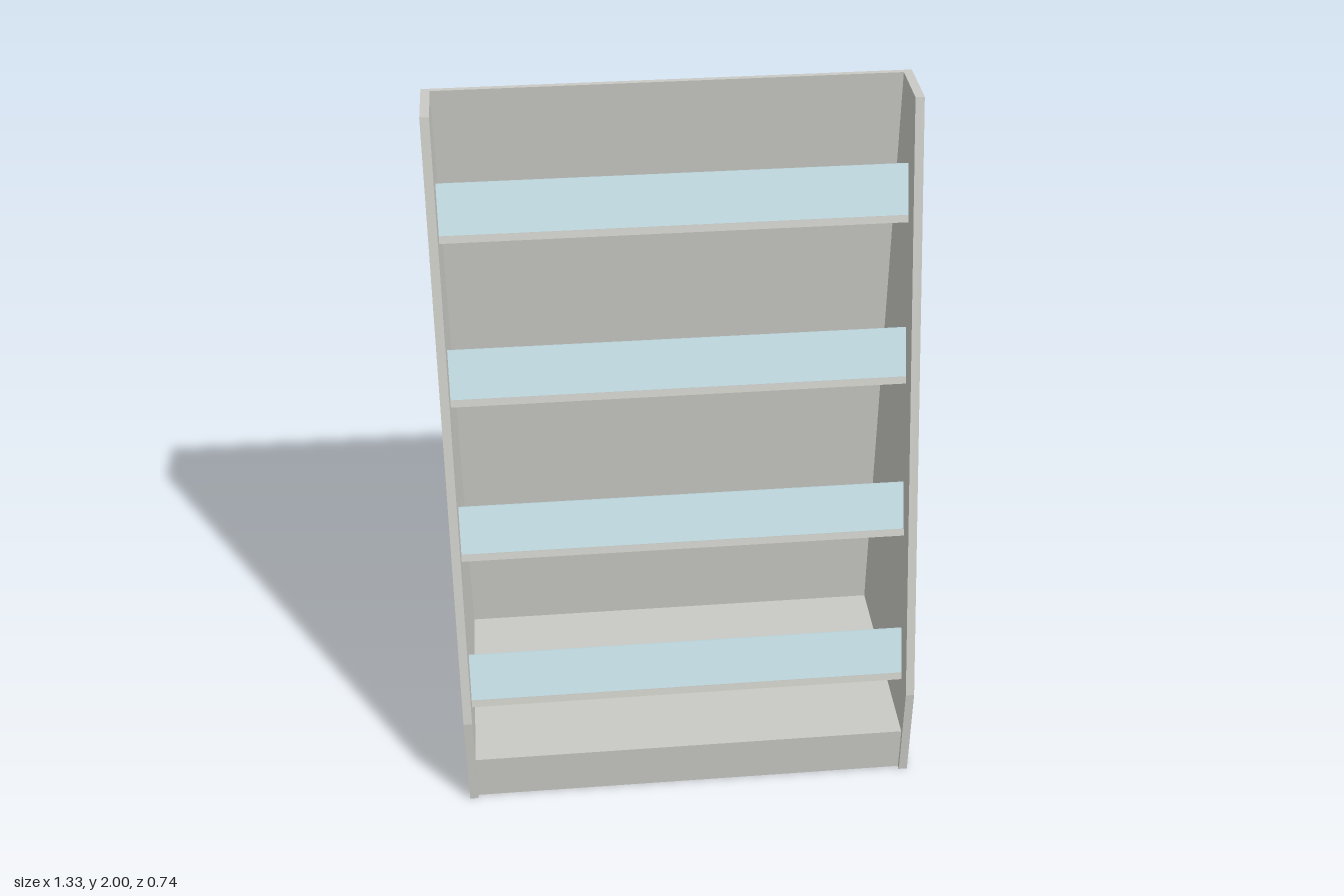
import * as THREE from 'three';

export function createModel() {
  const model = new THREE.Group();
  model.name = 'displayRack';

  const panelGrey = new THREE.MeshStandardMaterial({ color: 0xc9c9c4 });
  panelGrey.name = 'panelGrey';
  const paleGlass = new THREE.MeshStandardMaterial({ color: 0xc6e1e7 });
  paleGlass.name = 'paleGlass';

  const INNER = 0.64, OUTER = 0.665, BACK = -0.3;

  function box(name, material, w, h, d, x, y, z, parent = model) {
    const mesh = new THREE.Mesh(new THREE.BoxGeometry(w, h, d), material);
    mesh.name = name;
    mesh.position.set(x, y, z);
    parent.add(mesh);
    return mesh;
  }

  // Side panels: tapered profile drawn in (z, y), extruded along x
  const profile = new THREE.Shape([
    [BACK, 0], [0.365, 0], [0.365, 0.305], [-0.125, 2], [BACK, 2],
  ].map(([z, y]) => new THREE.Vector2(z, y)));
  const sideGeometry = new THREE.ExtrudeGeometry(profile, { depth: OUTER - INNER, bevelEnabled: false });
  sideGeometry.rotateY(-Math.PI / 2); // (z, y, depth) -> (-depth, y, z)
  for (const [name, x] of [['leftSide', OUTER], ['rightSide', -INNER]]) {
    const side = new THREE.Mesh(sideGeometry, panelGrey);
    side.name = name;
    side.position.x = x;
    model.add(side);
  }

  // Back panel and base plinth
  box('backPanel', panelGrey, INNER * 2, 2, 0.015, 0, 1, BACK + 0.0075);
  box('basePlinth', panelGrey, INNER * 2, 0.146, 0.637, 0, 0.073, 0.0335);

  // Tilted shelves with a glass lip; the top one pokes through the back panel
  const DEPTH = 0.297, THICK = 0.02, LIP = 0.144, GLASS = 0.007;
  for (let i = 0; i < 4; i++) {
    const tier = new THREE.Group();
    tier.name = 'shelfTier' + (i + 1);
    // Group origin is the lower front edge of the shelf
    tier.position.set(0, 0.313 + 0.445 * i, 0.302 - 0.1287 * i);
    tier.rotation.x = -THREE.MathUtils.degToRad(20);
    box('shelf', panelGrey, INNER * 2 - 0.002, THICK, DEPTH, 0, THICK / 2, -DEPTH / 2, tier);
    box('glassLip', paleGlass, INNER * 2 - 0.002, LIP, GLASS, 0, THICK + LIP / 2 - 0.003, -0.004 - GLASS / 2, tier);
    model.add(tier);
  }

  return model;
}
